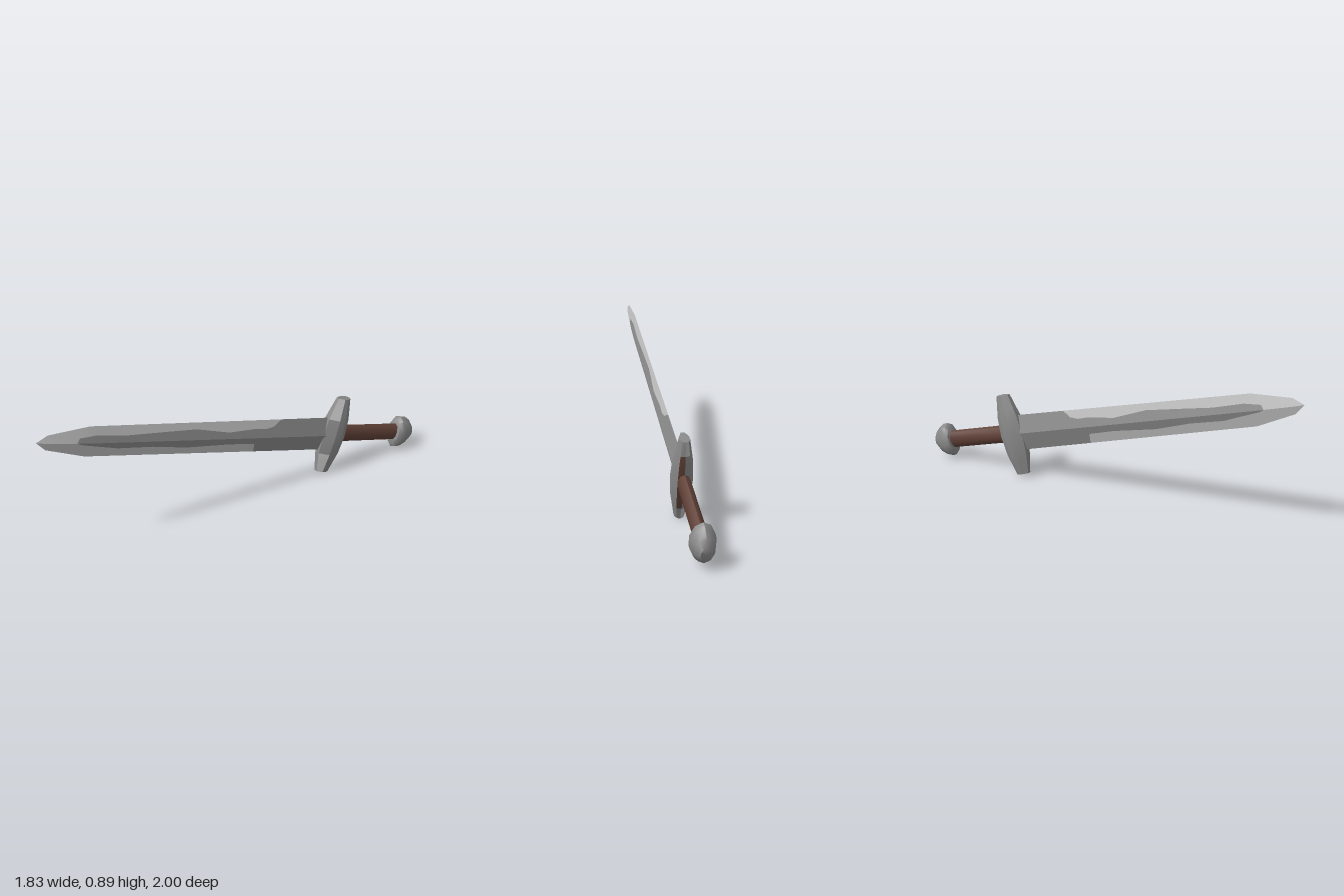
import * as THREE from 'three';
import { toCreasedNormals } from 'three/addons/utils/BufferGeometryUtils.js';

// Local frame: x runs from tip to pommel, y across the blade width, z through its thickness.

const steel = new THREE.MeshStandardMaterial({ color: 0x8a8a8a });
steel.name = 'steel';
const brightSteel = new THREE.MeshStandardMaterial({ color: 0xc0c0c0 });
brightSteel.name = 'brightSteel';
const leather = new THREE.MeshStandardMaterial({ color: 0x5f4036 });
leather.name = 'leather';
const materials = [steel, brightSteel, leather];
const STEEL = 0, BRIGHT = 1, LEATHER = 2;

// Linear interpolation in a list of [position, value] pairs
function sample(table, s) {
  if (s <= table[0][0]) return table[0][1];
  for (let i = 1; i < table.length; i++) {
    const [a, va] = table[i - 1], [b, vb] = table[i];
    if (s <= b) return va + (vb - va) * (s - a) / (b - a);
  }
  return table[table.length - 1][1];
}

// Skins a row of rings, closes both ends, and colours each facet by pick(segment, side)
function loft(name, rings, crease, pick, capColor = STEEL) {
  const lists = materials.map(() => []);
  const tri = (m, a, b, c) => {
    const area = b.clone().sub(a).cross(c.clone().sub(a)).length();
    if (area > 1e-8) lists[m].push(...a.toArray(), ...b.toArray(), ...c.toArray());
  };
  const n = rings[0].length, last = rings.length - 1;
  for (let k = 0; k < last; k++) {
    for (let i = 0; i < n; i++) {
      const j = (i + 1) % n, m = pick(k, i);
      tri(m, rings[k][i], rings[k][j], rings[k + 1][j]);
      tri(m, rings[k][i], rings[k + 1][j], rings[k + 1][i]);
    }
  }
  for (const k of [0, last]) {
    const c = new THREE.Vector3();
    rings[k].forEach((p) => c.addScaledVector(p, 1 / n));
    for (let i = 0; i < n; i++) {
      const a = rings[k][i], b = rings[k][(i + 1) % n];
      if (k === 0) tri(capColor, c, b, a);
      else tri(capColor, c, a, b);
    }
  }
  const geo = new THREE.BufferGeometry();
  geo.setAttribute('position', new THREE.Float32BufferAttribute(lists.flat(), 3));
  let start = 0;
  lists.forEach((l, m) => {
    if (l.length) geo.addGroup(start, l.length / 3, m);
    start += l.length / 3;
  });
  const mesh = new THREE.Mesh(toCreasedNormals(geo, crease), materials);
  mesh.name = name;
  return mesh;
}

const V = (x, y, z) => new THREE.Vector3(x, y, z);

// Oval ring across the long axis
function oval(s, halfWidth, halfThick, sides) {
  return Array.from({ length: sides }, (_, i) => {
    const a = (i / sides) * Math.PI * 2;
    return V(s, halfWidth * Math.cos(a), halfThick * Math.sin(a));
  });
}

// Diamond-section blade: dark middle with worn bright edges
function makeBlade() {
  const width = [[-1.42, 0], [-1.357, 0.048], [-1.11, 0.1], [0.64, 0.123]];
  const thick = [[-1.42, 0], [-1.357, 0.012], [-1.11, 0.025], [0.64, 0.034]];
  const upper = [[-1.18, 0], [-1.167, 0.03], [-1.064, 0.047], [-0.862, 0.042], [-0.634, 0.055],
    [-0.405, 0.067], [-0.166, 0.041], [0.03, 0.06], [0.107, 0.057], [0.165, 0.072], [0.217, 0.13]];
  const lower = [[-1.18, 0], [-1.156, 0.01], [-0.915, 0.045], [-0.684, 0.042], [-0.447, 0.059],
    [-0.142, 0.045], [0.045, 0.05], [0.065, 0.13]];
  const stations = [...new Set([width, upper, lower].flat().map((p) => p[0]))].sort((a, b) => a - b);
  const rings = stations.map((s) => {
    const w = sample(width, s), t = sample(thick, s);
    const u = Math.min(sample(upper, s), w), l = -Math.min(sample(lower, s), w);
    const at = (y, side) => V(s, y, w > 0 ? side * t * (1 - Math.abs(y) / w) : 0);
    return [at(w, 1), at(u, 1), at(0, 1), at(l, 1), at(-w, 1), at(l, -1), at(0, -1), at(u, -1)];
  });
  return loft('blade', rings, 0.15, (k, i) => ([0, 3, 4, 7].includes(i) ? BRIGHT : STEEL));
}

// Crossguard, swelling in the middle, with worn ends
function makeGuard() {
  const front = [[0, 0.58], [0.13, 0.59], [0.28, 0.625]];
  const rear = [[0, 0.76], [0.13, 0.752], [0.28, 0.725]];
  const thick = [[0, 0.064], [0.13, 0.056], [0.28, 0.03]];
  const levels = [-0.28, -0.19, -0.13, 0, 0.13, 0.19, 0.28];
  const rings = levels.map((y) => {
    const h = Math.abs(y), f = sample(front, h), r = sample(rear, h), t = sample(thick, h);
    const a = f + (r - f) * 0.42, b = f + (r - f) * 0.7;
    return [[a, t], [b, t], [r - 0.008, t * 0.6], [r, 0], [r - 0.008, -t * 0.6],
      [b, -t], [a, -t], [f, -t * 0.4], [f, t * 0.4]].map(([x, z]) => V(x, y - 0.01, z));
  });
  return loft('crossguard', rings, 0.35, (k, i) => {
    const end = k < 2 || k > 3;
    if (end && i === 8) return BRIGHT;
    if ((k === 0 || k === 5) && i === 3) return BRIGHT;
    if (k > 0 && k < 5 && i === 2) return LEATHER;
    return STEEL;
  });
}

export function createModel() {
  const sword = new THREE.Group();
  sword.name = 'sword';

  sword.add(makeBlade(), makeGuard());

  // Oval grip
  const grip = [0.73, 1.25].map((s) => oval(s, 0.062, 0.04, 10));
  sword.add(loft('grip', grip, 0.7, () => LEATHER, LEATHER));

  // Domed pommel
  const profile = [[1.215, 0.095, 0.062], [1.235, 0.12, 0.075], [1.275, 0.118, 0.073],
    [1.325, 0.09, 0.058], [1.362, 0.045, 0.035]];
  const pommel = profile.map(([s, w, t]) => oval(s, w, t, 10));
  sword.add(loft('pommel', pommel, 0.8, () => STEEL));

  // Lay the sword along a rising diagonal
  sword.rotation.set(0, THREE.MathUtils.degToRad(47.6), THREE.MathUtils.degToRad(-15.8), 'YXZ');
  sword.position.set(0, 0.483, -0.007);

  const model = new THREE.Group();
  model.name = 'model';
  model.add(sword);
  return model;
}
